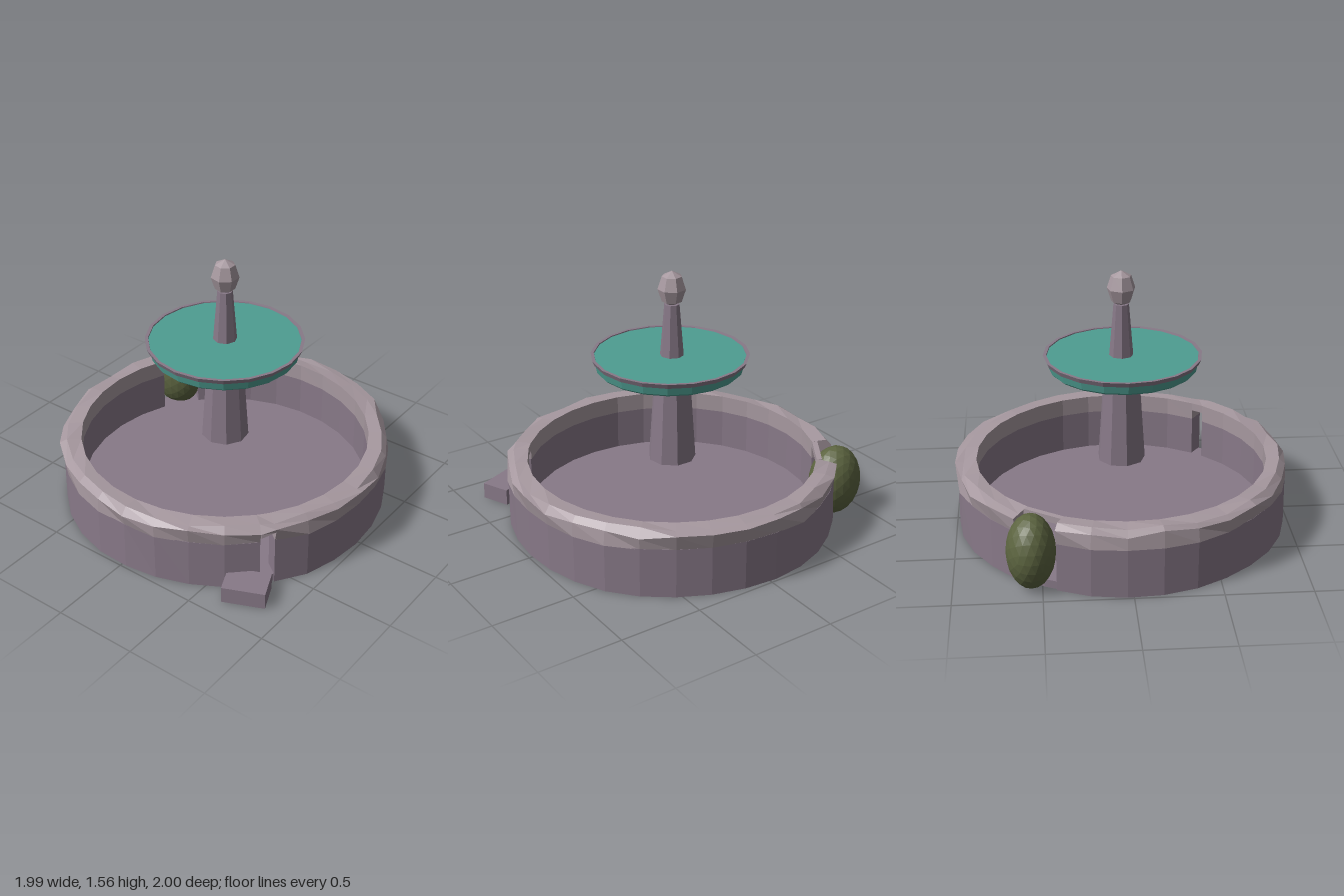
import * as THREE from 'three';
import { mergeGeometries } from 'three/addons/utils/BufferGeometryUtils.js';

const material = (name, color, side = THREE.FrontSide) => {
  const m = new THREE.MeshStandardMaterial({ color, flatShading: true, side });
  m.name = name;
  return m;
};

const rad = THREE.MathUtils.degToRad;

// Splits every face so that it shades flat
function faceted(geometry) {
  const g = geometry.index ? geometry.toNonIndexed() : geometry;
  g.computeVertexNormals();
  return g;
}

// Pushes vertices by a repeatable chisel pattern; the strength depends on radius
function chisel(geometry, amount) {
  const p = geometry.attributes.position;
  for (let i = 0; i < p.count; i++) {
    const x = p.getX(i), y = p.getY(i), z = p.getZ(i);
    const r = Math.hypot(x, z);
    const k = amount * THREE.MathUtils.clamp((r - 0.87) / 0.1, 0, 1);
    const s = 1 + k * Math.sin(x * 23 + z * 31 + y * 40);
    const dy = y > 0.32 ? k * 1.4 * Math.sin(x * 37 - z * 19 + r * 60) : 0;
    p.setXYZ(i, x * s, Math.min(0.415, y + dy), z * s);
  }
  return geometry;
}

// Sweeps a closed profile [radius, height] around an arc, closing both ends
function arc(profile, fromDeg, toDeg, amount) {
  const pts = [...profile, profile[0]].map(([r, y]) => new THREE.Vector2(r, y));
  const a = rad(fromDeg), b = rad(toDeg);
  const steps = Math.max(1, Math.round((toDeg - fromDeg) / 12));
  const parts = [new THREE.LatheGeometry(pts, steps, a, b - a)];
  for (const phi of [a, b]) {
    parts.push(new THREE.ShapeGeometry(new THREE.Shape(pts.slice(0, -1))).rotateY(phi - Math.PI / 2));
  }
  return faceted(chisel(mergeGeometries(parts.map((g) => g.toNonIndexed())), amount));
}

function lathe(profile, sides) {
  return faceted(new THREE.LatheGeometry(profile.map(([r, y]) => new THREE.Vector2(r, y)), sides));
}

export function createModel() {
  const model = new THREE.Group();
  const stone = material('stone', 0x887988, THREE.DoubleSide);
  const paleStone = material('pale stone', 0xa6989f, THREE.DoubleSide);
  const water = material('water', 0x4e9d91);
  const moss = material('moss', 0x5c6440);

  const add = (name, geometry, mat, x = 0, y = 0, z = 0) => {
    const mesh = new THREE.Mesh(geometry, mat);
    mesh.name = name;
    mesh.position.set(x, y, z);
    model.add(mesh);
    return mesh;
  };

  // Basin floor
  add('basinFloor', faceted(new THREE.CylinderGeometry(0.975, 0.975, 0.048, 30)), stone, 0, 0.026, 0);

  // Basin wall and rim, with a crack at the front and a breach behind the bush
  const wall = [[0.875, 0], [0.985, 0], [0.985, 0.3], [0.875, 0.3]];
  const rim = [[0.872, 0.3], [0.987, 0.295], [0.992, 0.38], [0.955, 0.408], [0.872, 0.41]];
  const crackRim = [[0.872, 0.36], [0.991, 0.355], [0.992, 0.38], [0.955, 0.408], [0.872, 0.41]];
  const breachRim = [[0.872, 0.37], [0.905, 0.37], [0.905, 0.41], [0.872, 0.41]];
  for (const [a, b] of [[53.5, 229], [244.5, 408.5]]) {
    add('basinWall', arc(wall, a, b, 0.006), stone);
    add('basinRim', arc(rim, a, b, 0.011), paleStone);
  }
  add('crackRim', arc(crackRim, 48.5, 53.5, 0.011), paleStone);
  add('breachRim', arc(breachRim, 229, 244.5, 0), paleStone);

  // Fallen block beside the crack
  const block = add('fallenBlock', faceted(new THREE.BoxGeometry(0.25, 0.1, 0.18)), stone, 0.729, 0.052, 0.768);
  block.rotation.y = rad(23.5);

  // Bush growing through the breach
  const bush = add('bush', faceted(new THREE.IcosahedronGeometry(1, 3)), moss, -0.82, 0.22, -0.56);
  bush.scale.set(0.17, 0.22, 0.14);

  // Pedestal
  add('pedestal', faceted(new THREE.CylinderGeometry(0.109, 0.143, 0.51, 9)), stone, 0, 0.638, 0);

  // Upper bowl: stone underside, water body and thin stone lip, set slightly off centre
  add('bowlUnderside', lathe([[0, 0.88], [0.107, 0.88], [0.35, 0.962]], 16), stone);
  add('bowlWater', lathe([[0.3, 0.955], [0.425, 0.963], [0.438, 0.975], [0.449, 1.025], [0.449, 1.044], [0, 1.044]], 20), water, 0.008, 0, 0.01);
  add('bowlLip', lathe([[0.444, 1.03], [0.456, 1.022], [0.468, 1.05], [0.449, 1.05], [0.444, 1.03]], 20), stone, 0.006, 0, 0.009);

  // Spire and finial
  add('spire', faceted(new THREE.CylinderGeometry(0.045, 0.072, 0.33, 8)), stone, 0, 1.195, 0);
  const finial = add('finial', faceted(new THREE.SphereGeometry(1, 7, 4)), paleStone, 0, 1.453, 0);
  finial.scale.set(0.084, 0.107, 0.084);

  return model;
}
